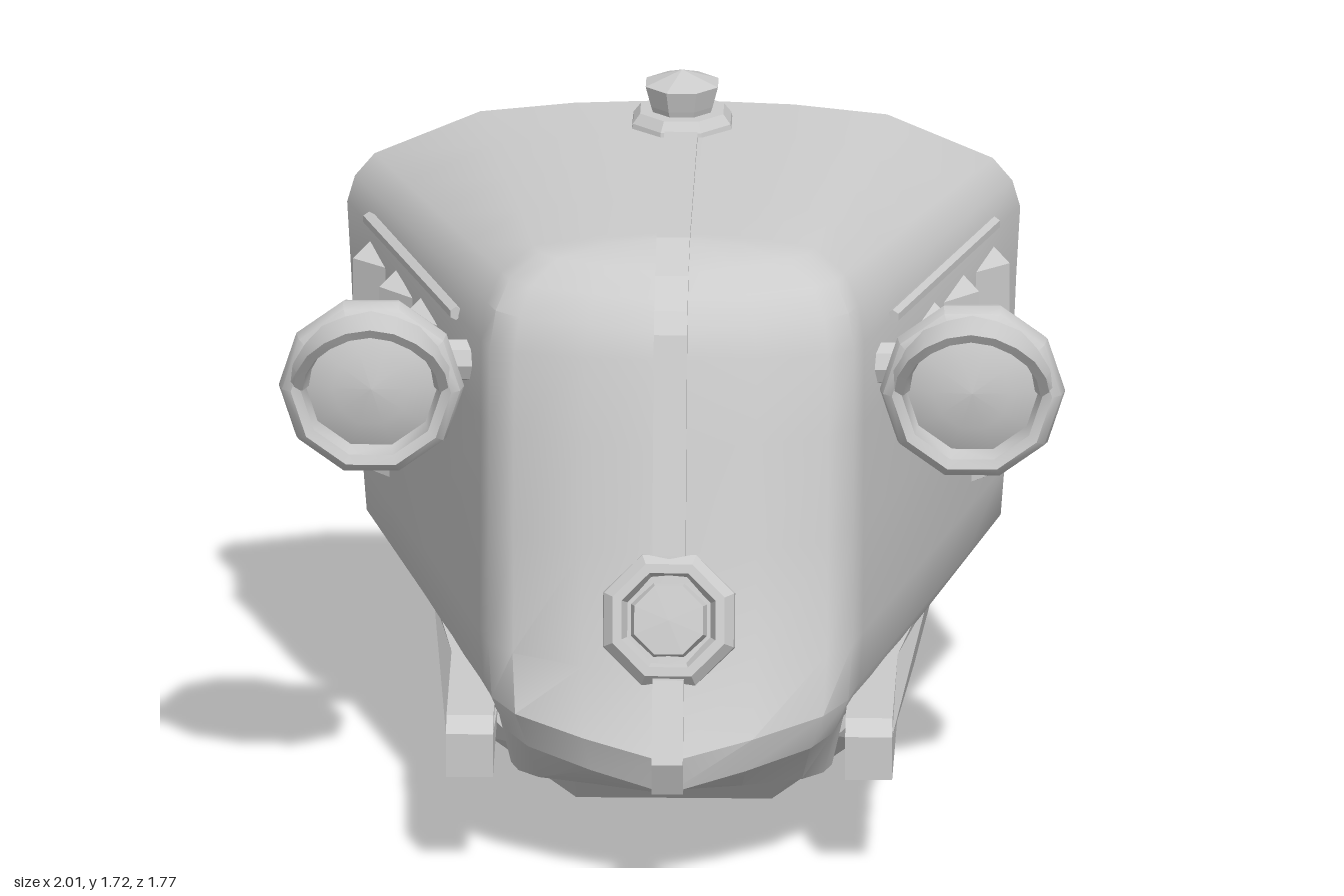
import * as THREE from 'three';
import { toCreasedNormals } from 'three/addons/utils/BufferGeometryUtils.js';
import { ConvexGeometry } from 'three/addons/geometries/ConvexGeometry.js';

const smooth = new THREE.MeshStandardMaterial({ color: 0xcccccc, side: THREE.DoubleSide });
const flat = new THREE.MeshStandardMaterial({ color: 0xcccccc, side: THREE.DoubleSide, flatShading: true });

function add(parent, name, geometry, material = flat) {
  const mesh = new THREE.Mesh(geometry, material);
  mesh.name = name;
  parent.add(mesh);
  return mesh;
}

// Surface through rows of [x, y, z] points with equal counts
function loft(rows, crease = 0.6) {
  const n = rows[0].length, index = [];
  for (let i = 0; i < rows.length - 1; i++)
    for (let j = 0; j < n - 1; j++) {
      const a = i * n + j, b = a + n;
      index.push(a, b, a + 1, a + 1, b, b + 1);
    }
  const g = new THREE.BufferGeometry();
  g.setAttribute('position', new THREE.Float32BufferAttribute(rows.flat(2), 3));
  g.setIndex(index);
  return toCreasedNormals(g, crease);
}

// Side outline of [z, y] points, extruded across x
function sideExtrude(outline, width) {
  const shape = new THREE.Shape(outline.map(p => new THREE.Vector2(...p)));
  return new THREE.ExtrudeGeometry(shape, { depth: width, bevelEnabled: false })
    .translate(0, 0, -width / 2).rotateY(-Math.PI / 2);
}

const lathe = (profile, sides) =>
  new THREE.LatheGeometry(profile.map(p => new THREE.Vector2(...p)), sides, Math.PI / sides);

// One U-shaped hood level: straight flank, rounded corner, pointed prow
const BACK = -0.86;
function level([xb, yb, xc, yc, zc, zn, yn], noseOnly = false) {
  const half = [];
  if (!noseOnly)
    for (const f of [1, 0.75, 0.5, 0.25])
      half.push([xc + (xb - xc) * f, yc + (yb - yc) * f, zc + (BACK - zc) * f]);
  for (const [k, t] of [[1, 0], [0.95, 0.3], [0.82, 0.55], [0.45, 0.8], [0, 1]])
    half.push([xc * k, yc + (yn - yc) * (1 - k), zc + (zn - zc) * t]);
  return half.concat(half.slice(0, -1).reverse().map(([x, y, z]) => [-x, y, z]));
}

function buildHood(model) {
  // back x, back y, corner x, corner y, corner z, prow z, prow y
  const levels = [
    [0.72, 0.35, 0.44, 0.36, 0.45, 0.85, 0.28],
    [0.81, 0.47, 0.48, 0.45, 0.45, 0.87, 0.37],
    [0.82, 0.60, 0.49, 0.58, 0.43, 0.76, 0.56],
    [0.84, 0.88, 0.49, 0.86, 0.38, 0.67, 0.86],
    [0.85, 1.12, 0.49, 1.12, 0.34, 0.59, 1.12],
    [0.86, 1.30, 0.49, 1.32, 0.31, 0.53, 1.34],
    [0.84, 1.37, 0.475, 1.41, 0.28, 0.50, 1.41],
    [0.79, 1.43, 0.44, 1.48, 0.24, 0.44, 1.47],
    [0.52, 1.545, 0.36, 1.535, 0.19, 0.37, 1.52],
    [0.28, 1.57, 0.20, 1.555, 0.17, 0.27, 1.55],
    [0, 1.58, 0, 1.565, 0.16, 0.21, 1.56]
  ];
  add(model, 'hood', loft(levels.map(l => level(l))), smooth);

  // Underside of the prow, running back to the tray
  const lip = level([0, 0, 0.41, 0.22, 0.42, 0.64, 0.22], true);
  add(model, 'chin', loft([lip.map(([x]) => [x, 0.22, 0.33]), lip, level(levels[0], true)]), smooth);

  // Raised seam down the centre, interrupted by the nose lamp
  add(model, 'upperSeam', sideExtrude([
    [0.70, 0.87], [0.535, 1.41], [0.49, 1.46], [0.40, 1.525], [0.24, 1.575], [-0.84, 1.592],
    [-0.84, 1.56], [0.22, 1.54], [0.37, 1.49], [0.48, 1.40], [0.63, 0.85]], 0.085));
  add(model, 'lowerSeam', sideExtrude([
    [0.79, 0.565], [0.89, 0.37], [0.855, 0.28], [0.80, 0.29], [0.81, 0.38], [0.72, 0.56]], 0.08));

  // Nose lamp with an eight-sided bezel
  const lamp = add(model, 'noseLamp', lathe([[0.185, -0.06], [0.18, 0.0], [0.155, 0.03], [0.13, 0.03],
    [0.115, -0.01], [0.105, -0.01], [0.095, 0.03], [0, 0.035]], 8));
  lamp.rotation.x = Math.PI / 2 - 0.3;
  lamp.position.set(0, 0.70, 0.705);

  // Filler cap and its neck under the roof
  add(model, 'fillerCap', lathe([[0.14, 1.56], [0.135, 1.585], [0.115, 1.61], [0.08, 1.61],
    [0.085, 1.625], [0.1, 1.68], [0, 1.715]], 8)).position.z = -0.7;
  const neck = new THREE.CylinderGeometry(0.11, 0.18, 0.12, 8, 1, true).translate(0, 1.51, -0.7);
  add(model, 'fillerNeck', neck);
}

function buildTray(model) {
  const section = (w, top, knee, bottom, z, lean = 0) =>
    [[w, top, z - lean], [w - 0.03, knee, z - lean * 0.7], [0.25, bottom, z],
      [-0.25, bottom, z], [0.03 - w, knee, z - lean * 0.7], [-w, top, z - lean]];
  const rear = section(0.53, 0.17, 0.12, 0, -0.79, 0.04);
  add(model, 'tray', loft([rear, section(0.5, 0.29, 0.2, 0.04, 0.16), section(0.42, 0.27, 0.24, 0.22, 0.34)], 0.3), smooth);
  add(model, 'trayBackPlate', new ConvexGeometry(
    [...rear, ...rear.map(([x, y, z]) => [x, y, z + 0.015])].map(p => new THREE.Vector3(...p))));
}

function buildRail(side) {
  const g = sideExtrude([[0.68, 0.265], [0.68, 0.38], [0.63, 0.415], [0.1, 0.41], [-0.3, 0.40],
    [-0.5, 0.35], [-0.73, 0.35], [-0.73, 0.11], [0.08, 0.265]], 0.12);
  // Splay and lean the rail towards the rear
  const p = g.attributes.position;
  for (let i = 0; i < p.count; i++) {
    const back = Math.max(0, 0.1 - p.getZ(i));
    p.setX(i, p.getX(i) + 0.51 + back * (0.06 + 0.3 * (p.getY(i) - 0.22)));
  }
  g.computeVertexNormals();
  add(side, 'rail', g);
}

function buildFlank(side) {
  // Local x points out of the slanted side panel, z runs along it
  const flank = new THREE.Group();
  flank.name = 'sidePanelDetails';
  flank.position.x = 0.594;
  flank.rotation.y = -0.306;
  side.add(flank);
  const along = 1 / Math.cos(0.306);
  for (const [front, back, bottom] of [[-0.05, -0.22, 0.91], [-0.27, -0.44, 0.77], [-0.52, -0.67, 0.64]]) {
    const points = [
      [-0.015, 1.23, front], [-0.015, bottom + 0.03, front],
      [0.05, 1.23, back + 0.045], [0.05, bottom + 0.04, back + 0.045],
      [-0.015, 1.26, back], [-0.015, bottom, back]];
    add(flank, 'louvre', new ConvexGeometry(points.map(([x, y, z]) => new THREE.Vector3(x, y, z * along))));
  }
  const ledge = new THREE.CylinderGeometry(0.018, 0.018, 0.8, 6).rotateX(Math.PI / 2);
  add(flank, 'ledge', ledge).position.set(0, 1.325, -0.28);
}

function buildHeadlamp(side) {
  const lamp = new THREE.Group();
  lamp.name = 'headlamp';
  lamp.position.set(0.768, 1.215, 0);
  side.add(lamp);
  const shell = lathe([[0, 0.075], [0.1, 0.135], [0.185, 0.21], [0.22, 0.31], [0.237, 0.37],
    [0.228, 0.41], [0.205, 0.43], [0.18, 0.42], [0.17, 0.36]], 10).rotateX(Math.PI / 2);
  add(lamp, 'shell', toCreasedNormals(shell, 0.75), smooth);
  add(lamp, 'lens', lathe([[0.175, 0.36], [0.1, 0.395], [0, 0.405]], 10).rotateX(Math.PI / 2), smooth);

  // Eyelid visor, deepest at the top
  const arc = (r, base, depth) => Array.from({ length: 11 }, (_, i) => {
    const a = Math.PI * i / 10;
    return [r * Math.cos(a), r * Math.sin(a), base + depth * Math.min(1, 1.15 * Math.sin(a))];
  });
  add(lamp, 'visor', loft([arc(0.16, 0.38, 0.03), arc(0.175, 0.42, 0.095), arc(0.2, 0.42, 0.11), arc(0.215, 0.40, 0)]), smooth);

  const stalk = new THREE.CylinderGeometry(0.055, 0.055, 0.24, 8).rotateZ(Math.PI / 2);
  add(lamp, 'stalk', stalk).position.set(-0.2, 0.01, 0.19);
}

export function createModel() {
  const model = new THREE.Group();
  model.name = 'engineHood';
  buildHood(model);
  buildTray(model);
  for (const s of [1, -1]) {
    const side = new THREE.Group();
    side.name = s > 0 ? 'leftSide' : 'rightSide';
    side.scale.x = s;
    buildRail(side);
    buildFlank(side);
    buildHeadlamp(side);
    model.add(side);
  }
  return model;
}
